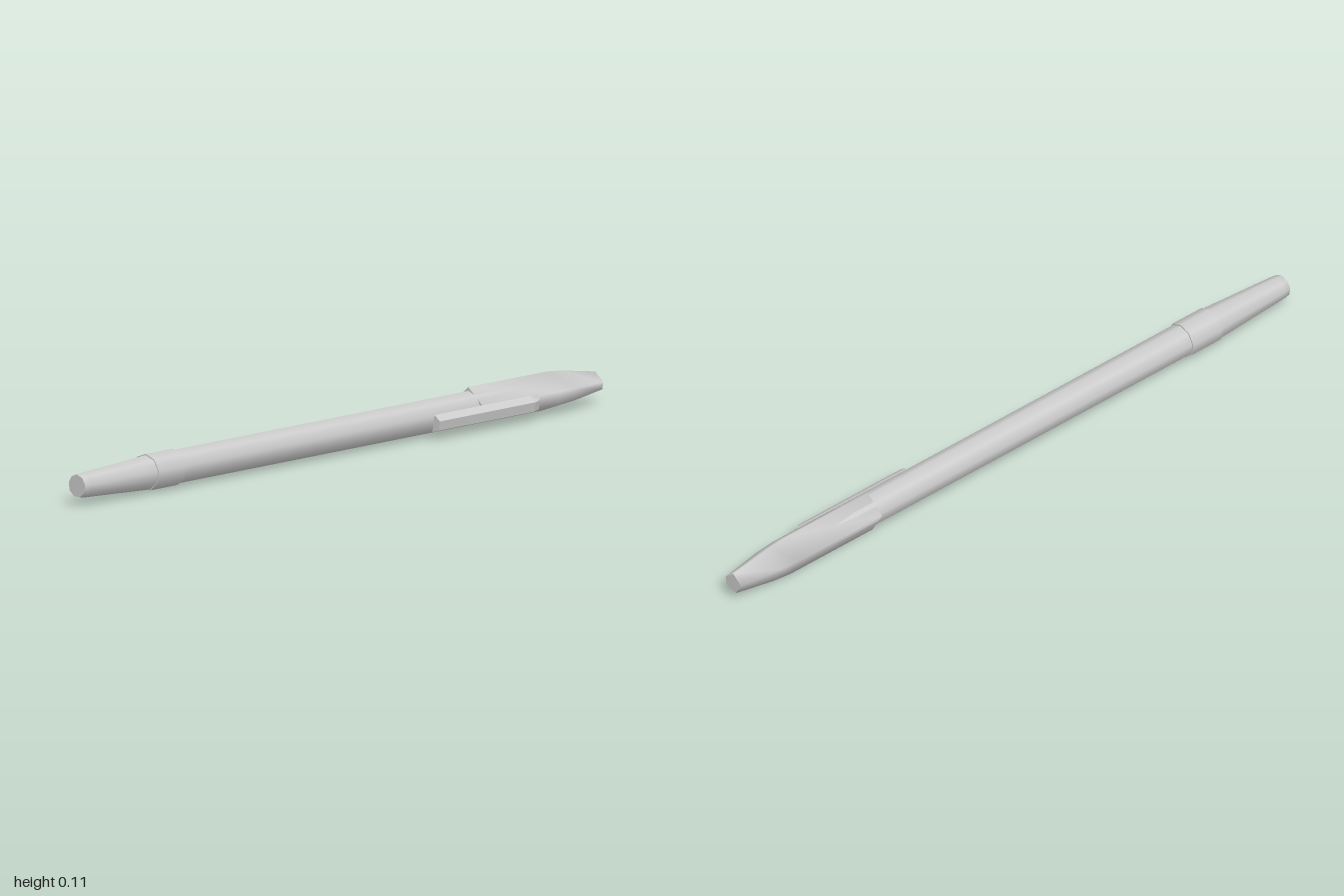
import * as THREE from 'three';

const CX = -0.012, CY = 0.053, SIDES = 9;
const material = new THREE.MeshStandardMaterial({ color: 0xcccccc });

// Round section of the barrel from z = back to z = front
function section(name, back, front, rBack, rFront) {
  const geo = new THREE.CylinderGeometry(rFront, rBack, front - back, SIDES, 1, false, Math.PI);
  geo.rotateX(Math.PI / 2);
  const mesh = new THREE.Mesh(geo, material);
  mesh.name = name;
  mesh.position.set(CX, CY, (back + front) / 2);
  return mesh;
}

// Closed skin over rings of points; rings run counter-clockwise seen from +z, from front to back
function loft(name, rings, smooth) {
  const n = rings[0].length, last = rings.length - 1;
  const pos = rings.flat(2), index = [];
  for (let r = 0; r < last; r++) {
    for (let i = 0; i < n; i++) {
      const a = r * n + i, b = r * n + (i + 1) % n;
      index.push(a, a + n, b, b, a + n, b + n);
    }
  }
  // End faces have their own corners so their rims stay sharp
  const front = pos.length / 3, back = front + n;
  pos.push(...rings[0].flat(), ...rings[last].flat());
  for (let i = 1; i < n - 1; i++) {
    index.push(front, front + i, front + i + 1, back, back + i + 1, back + i);
  }
  let geo = new THREE.BufferGeometry();
  geo.setAttribute('position', new THREE.Float32BufferAttribute(pos, 3));
  geo.setIndex(index);
  if (!smooth) geo = geo.toNonIndexed();
  geo.computeVertexNormals();
  const mesh = new THREE.Mesh(geo, material);
  mesh.name = name;
  return mesh;
}

export function createModel() {
  const pen = new THREE.Group();
  pen.name = 'pen';

  // Barrel, collar and tapered nose
  pen.add(
    section('barrel', -0.58, 0.64, 0.046, 0.046),
    section('barrelEnd', -0.75, -0.58, 0.04, 0.046),
    section('collar', 0.63, 0.735, 0.05, 0.05),
    section('nose', 0.735, 0.985, 0.047, 0.034),
    section('noseTip', 0.985, 1, 0.034, 0.031)
  );

  // Five-cornered cap with a narrow face under the clip
  const corners = [10, 90, 170, 250, 330].map(THREE.MathUtils.degToRad);
  const capProfile = [[-0.51, 0.0565], [-0.81, 0.0565], [-0.87, 0.051], [-1, 0.03]];
  pen.add(loft('cap', capProfile.map(([z, r]) =>
    corners.map(a => [CX + r * Math.cos(a), CY + r * Math.sin(a), z])), true));

  // Clip: a tapered bar, bevelled where it meets the cap
  const clipRing = (z, reach) => [
    [0.037, 0.02, z], [0.042 + 0.018 * reach, 0.027, z],
    [0.046 + 0.019 * reach, 0.053, z], [0.045, 0.068, z]
  ];
  pen.add(loft('clip', [clipRing(-0.32, 1), clipRing(-0.69, 1), clipRing(-0.72, 0.3)], false));

  return pen;
}
